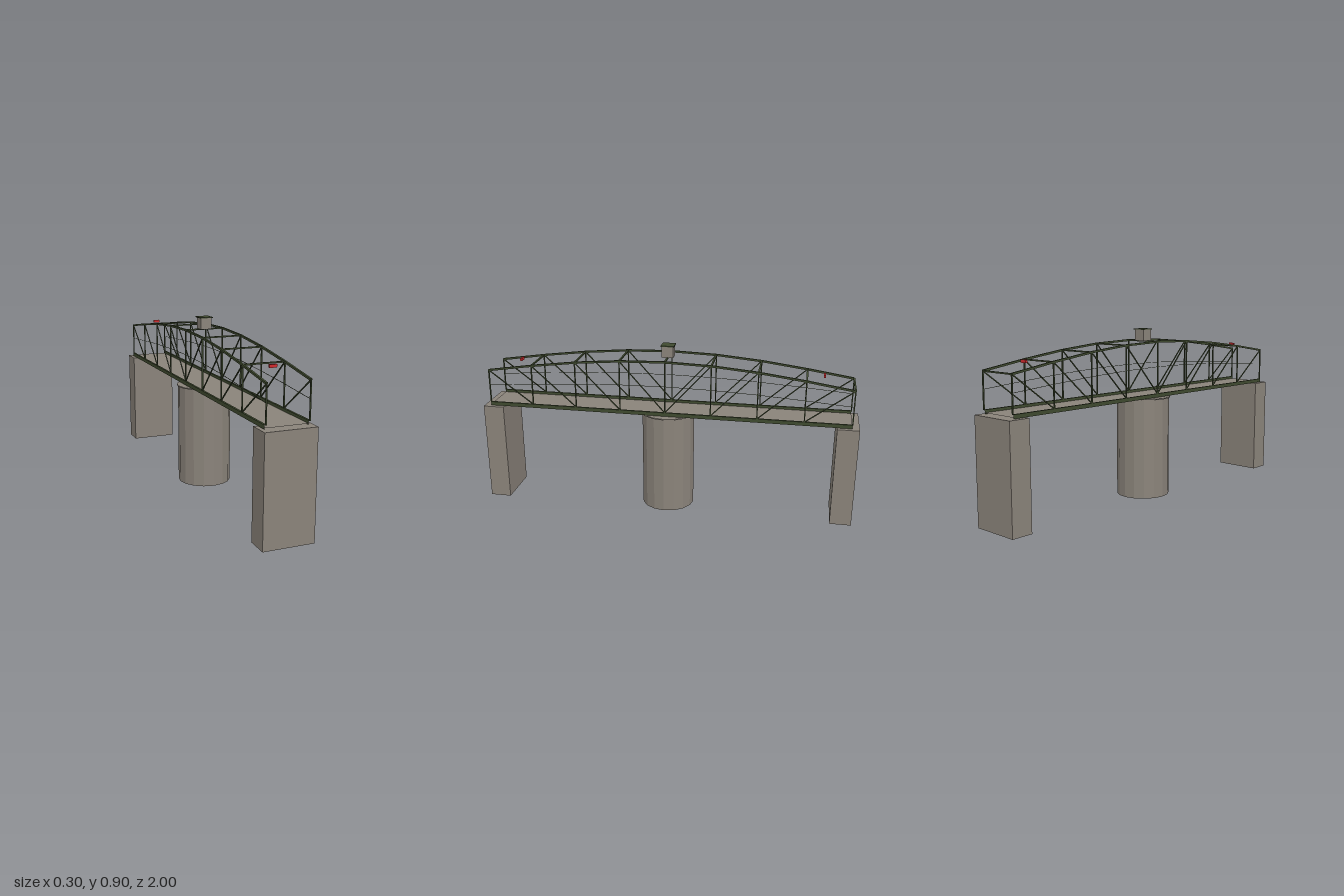
import * as THREE from 'three';

const concrete = new THREE.MeshStandardMaterial({ color: 0x8a837a, flatShading: true, side: THREE.DoubleSide });
concrete.name = 'concrete';
const steel = new THREE.MeshStandardMaterial({ color: 0x3f4a2f, flatShading: true });
steel.name = 'greenSteel';
const red = new THREE.MeshStandardMaterial({ color: 0xcf2a2d });
red.name = 'signRed';

const HALF = 0.963, PANELS = 8, X = 0.105, BASE = 0.555;
const nodeZ = (i) => HALF - (2 * HALF * i) / PANELS;
const topY = (z) => 0.735 + 0.096 * Math.cos((Math.PI / 2) * (z / HALF));

// Upright four-sided tube without ends
const squareTube = (w, h, d) =>
  new THREE.CylinderGeometry(Math.SQRT1_2, Math.SQRT1_2, 1, 4, 1, true, Math.PI / 4).scale(w, h, d);

export function createModel() {
  const model = new THREE.Group();

  const add = (parent, name, geometry, material, x = 0, y = 0, z = 0) => {
    const mesh = new THREE.Mesh(geometry, material);
    mesh.name = name;
    mesh.position.set(x, y, z);
    parent.add(mesh);
    return mesh;
  };
  const box = (parent, name, w, h, d, material, x, y, z) =>
    add(parent, name, new THREE.BoxGeometry(w, h, d), material, x, y, z);
  const slab = (parent, name, w, d, y, z) =>
    add(parent, name, new THREE.PlaneGeometry(w, d).rotateX(-Math.PI / 2), concrete, 0, y, z);

  // Rectangular steel bar between two points
  const bar = (parent, name, a, b, w, h = w) => {
    const from = new THREE.Vector3(...a), to = new THREE.Vector3(...b);
    const mesh = box(parent, name, w, h, from.distanceTo(to), steel, 0, 0, 0);
    mesh.position.copy(from).add(to).multiplyScalar(0.5);
    mesh.lookAt(to);
  };

  // End piers, hollow and open at the foot
  for (const s of [1, -1]) {
    const pier = new THREE.Group();
    pier.name = s > 0 ? 'frontPier' : 'backPier';
    model.add(pier);
    add(pier, 'pierWalls', squareTube(0.256, 0.535, 0.112), concrete, 0, 0.2675, s * 0.944);
    slab(pier, 'pierTop', 0.256, 0.112, 0.535, s * 0.944);
  }

  // Round centre pier, open at the foot, with its bearing plate
  add(model, 'centrePier', new THREE.CylinderGeometry(0.141, 0.141, 0.53, 16, 1, true), concrete, 0, 0.265, 0);
  add(model, 'pierCap', new THREE.CylinderGeometry(0.148, 0.148, 0.006, 16), concrete, 0, 0.532, 0);

  // Road deck
  slab(model, 'deck', 2 * X, 2 * HALF, 0.543, 0);

  // Two mirrored side trusses
  for (const s of [1, -1]) {
    const truss = new THREE.Group();
    truss.name = s > 0 ? 'leftTruss' : 'rightTruss';
    model.add(truss);
    const x = s * X;

    // Hollow bottom girder, open at its ends
    add(truss, 'bottomGirder', squareTube(0.011, 2 * HALF, 0.02).rotateX(Math.PI / 2), steel, x, 0.547, 0);

    for (let i = 0; i <= PANELS; i++) {
      const z = nodeZ(i), y = topY(z);
      bar(truss, 'post', [x, BASE, z], [x, y, z], 0.006);
      if (i === PANELS) continue;
      const z2 = nodeZ(i + 1), y2 = topY(z2);
      bar(truss, 'topChord', [x, y, z], [x, y2, z2], 0.01);
      bar(truss, 'handCable', [x, (y + BASE) / 2 + 0.006, z], [x, (y2 + BASE) / 2 + 0.006, z2], 0.002);
      // Diagonals lean down towards the centre
      if (i < PANELS / 2) bar(truss, 'diagonal', [x, y, z], [x, BASE, z2], 0.005);
      else bar(truss, 'diagonal', [x, BASE, z], [x, y2, z2], 0.005);
    }
  }

  // Overhead cross struts, with the front end left open
  for (let i = 1; i <= PANELS; i++) {
    const z = nodeZ(i), y = topY(z);
    bar(model, 'crossStrut', [-X, y, z], [X, y, z], 0.009, 0.007);
  }

  // Control cabin on the crown
  box(model, 'cabin', 0.06, 0.06, 0.06, concrete, 0, 0.863, 0);
  box(model, 'cabinRoof', 0.07, 0.005, 0.07, steel, 0, 0.8945, 0);

  // Red warning signs near both ends
  for (const s of [1, -1]) box(model, 'warningSign', 0.037, 0.015, 0.01, red, 0, 0.775, s * 0.81);

  return model;
}
